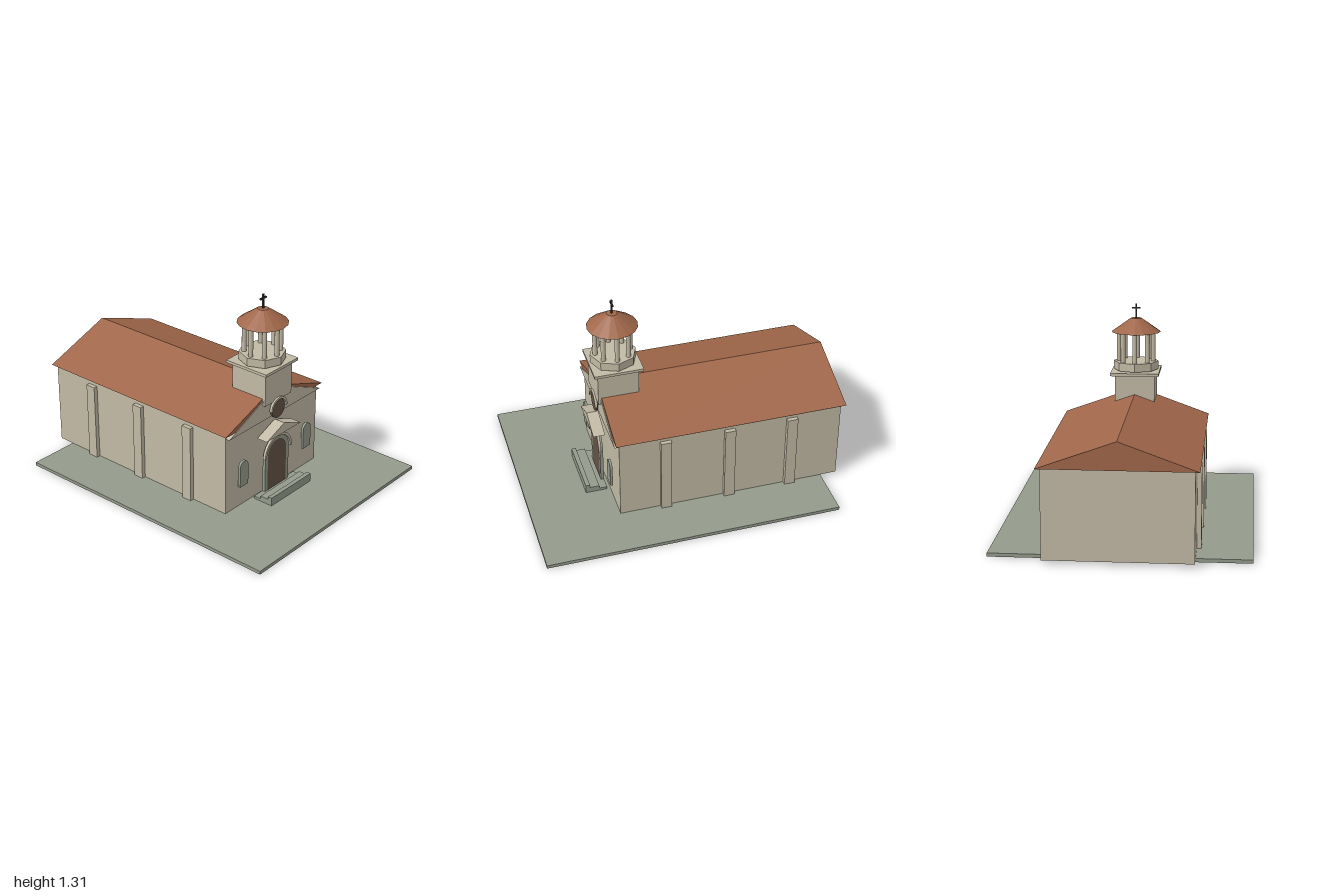
import * as THREE from 'three';

const mat = (name, color) => {
  const m = new THREE.MeshStandardMaterial({ color });
  m.name = name;
  return m;
};

export function createModel() {
  const group = new THREE.Group();
  const wall = mat('plaster', 0xc2baa5);
  const tile = mat('roofTile', 0xa0674a);
  const stone = mat('stone', 0x949a8b);
  const wood = mat('darkWood', 0x655346);
  const iron = mat('iron', 0x303030);
  tile.flatShading = true;

  const add = (name, geo, m) => {
    const mesh = new THREE.Mesh(geo, m);
    mesh.name = name;
    group.add(mesh);
    return mesh;
  };
  // Box given by its extents
  const box = (name, m, x0, x1, y0, y1, z0, z1) =>
    add(name, new THREE.BoxGeometry(x1 - x0, y1 - y0, z1 - z0), m)
      .position.set((x0 + x1) / 2, (y0 + y1) / 2, (z0 + z1) / 2);
  // Shape in the xy plane extruded from z0 to z1
  const slab = (name, m, shape, z0, z1) => {
    const geo = new THREE.ExtrudeGeometry(shape, { depth: z1 - z0, bevelEnabled: false, curveSegments: 16 });
    add(name, geo, m).position.z = z0;
  };
  const gable = (halfWidth, y0, y1) => new THREE.Shape([
    new THREE.Vector2(-halfWidth, y0), new THREE.Vector2(halfWidth, y0), new THREE.Vector2(0, y1)]);
  // Round-headed opening
  const arch = (cx, r, y0, spring) => {
    const s = new THREE.Shape();
    s.moveTo(cx - r, y0);
    s.lineTo(cx + r, y0);
    s.lineTo(cx + r, spring);
    s.absarc(cx, spring, r, 0, Math.PI, false);
    return s;
  };
  // Band between two round heads, with legs down to y0
  const archBand = (rOut, rIn, y0, spring) => {
    const s = new THREE.Shape();
    s.moveTo(rIn, y0);
    s.lineTo(rOut, y0);
    s.absarc(0, spring, rOut, 0, Math.PI, false);
    s.lineTo(-rOut, y0);
    s.lineTo(-rIn, y0);
    s.absarc(0, spring, rIn, Math.PI, 0, true);
    return s;
  };

  // Ground plate, nave and roof
  box('groundPlate', stone, -0.775, 0.775, 0, 0.022, -0.87, 1);
  box('nave', wall, -0.443, 0.443, 0.022, 0.57, -0.975, 0.457);
  slab('naveRoof', tile, gable(0.47, 0.57, 0.74), -1, 0.48);
  slab('frontGable', wall, gable(0.442, 0.544, 0.735), 0.45, 0.485);

  // Buttresses along both sides
  for (const z of [0.165, -0.245, -0.65]) {
    for (const s of [-1, 1]) {
      const x = s * 0.455;
      box('buttress', wall, x - 0.015, x + 0.015, 0.022, 0.53, z - 0.034, z + 0.034);
    }
  }

  // Doorway
  slab('door', wood, arch(0, 0.09, 0.03, 0.28), 0.485, 0.5);
  slab('doorFrame', stone, archBand(0.115, 0.09, 0.03, 0.28), 0.48, 0.5);
  slab('doorMoulding', wall, archBand(0.132, 0.115, 0.28, 0.281), 0.495, 0.512);
  slab('doorPediment', wall, gable(0.167, 0.437, 0.503), 0.475, 0.55);

  // Stepped door block, tallest at the front
  box('frontStep', stone, -0.195, 0.195, 0.026, 0.081, 0.59, 0.618);
  box('middleStep', stone, -0.195, 0.195, 0.026, 0.062, 0.53, 0.59);
  box('backStep', stone, -0.195, 0.195, 0.026, 0.043, 0.48, 0.53);

  // Facade windows
  for (const s of [-1, 1]) slab('sideWindow', stone, arch(s * 0.31, 0.038, 0.178, 0.312), 0.478, 0.494);
  const disc = new THREE.Shape();
  disc.absarc(0, 0.587, 0.062, 0, Math.PI * 2, false);
  slab('roundWindow', wood, disc, 0.488, 0.503);
  slab('roundWindowHood', wall, archBand(0.077, 0.062, 0.589, 0.59), 0.495, 0.512);

  // Bell tower
  const tz = 0.37;
  box('towerBase', wall, -0.127, 0.127, 0.647, 0.864, 0.242, 0.5);
  box('towerLedge', wall, -0.155, 0.155, 0.863, 0.881, tz - 0.155, tz + 0.155);
  const flatWall = wall;
  add('belfryDrum', new THREE.CylinderGeometry(0.145, 0.145, 0.053, 8).toNonIndexed(), flatWall)
    .position.set(0, 0.913, tz);
  const drum = group.getObjectByName('belfryDrum');
  drum.geometry.computeVertexNormals();
  for (let i = 0; i < 8; i++) {
    const a = (i * Math.PI) / 4;
    add('belfryColumn', new THREE.CylinderGeometry(0.015, 0.015, 0.196, 12), wall)
      .position.set(0.111 * Math.sin(a), 1.036, tz + 0.111 * Math.cos(a));
  }
  add('belfryRoof', new THREE.CylinderGeometry(0.034, 0.158, 0.088, 16), tile).position.set(0, 1.174, tz);

  // Cross
  box('crossPost', iron, -0.005, 0.005, 1.215, 1.31, tz - 0.005, tz + 0.005);
  box('crossBar', iron, -0.028, 0.028, 1.278, 1.288, tz - 0.005, tz + 0.005);

  return group;
}
